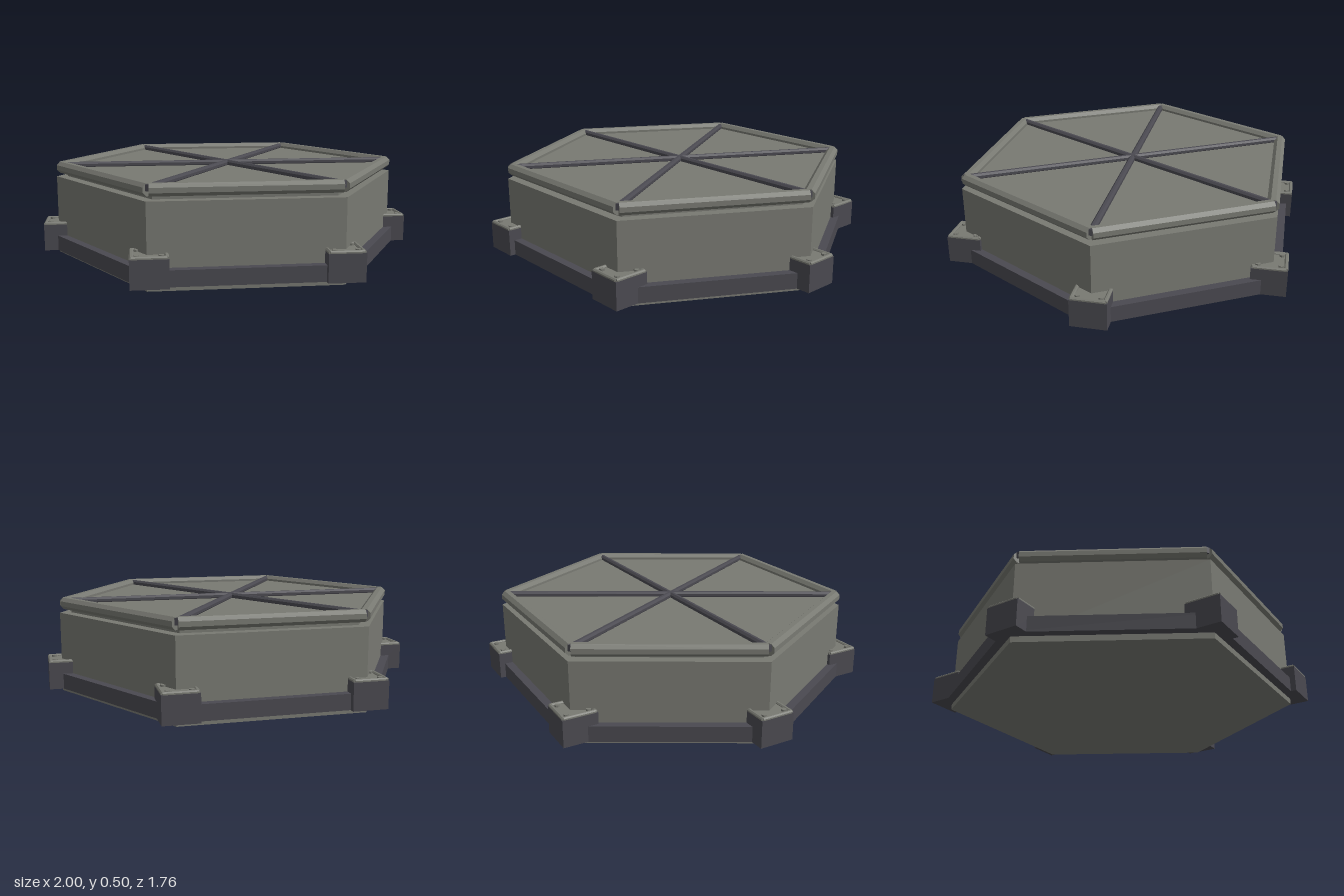
import * as THREE from 'three';

export function createModel() {
  const root = new THREE.Group();
  const stone = new THREE.MeshStandardMaterial({ color: 0x787972, flatShading: true });
  stone.name = 'warmGrey';
  const dark = new THREE.MeshStandardMaterial({ color: 0x4a4950, flatShading: true });
  dark.name = 'darkGrey';

  function add(name, geometry, material, x, y, z, parent = root) {
    const mesh = new THREE.Mesh(geometry, material);
    mesh.name = name;
    mesh.position.set(x, y, z);
    parent.add(mesh);
    return mesh;
  }

  // Hexagonal prism with corners on the x axis
  const hexPrism = (radius, y0, y1) =>
    new THREE.CylinderGeometry(radius, radius, y1 - y0, 6, 1, false, Math.PI / 2)
      .translate(0, (y0 + y1) / 2, 0);

  // Horizontal eight-sided bar lying along x, with flats on top and side
  const bar = (radius, length) =>
    new THREE.CylinderGeometry(radius, radius, length, 8, 1, false, Math.PI / 8)
      .rotateZ(Math.PI / 2);

  // Main body, top panel and lower band
  add('body', hexPrism(0.93, 0, 0.42), stone, 0, 0, 0);
  add('topPanel', hexPrism(0.87, 0.42, 0.47), stone, 0, 0, 0);
  add('baseBand', hexPrism(0.98, 0.03, 0.11), dark, 0, 0, 0);

  const rimGeo = bar(0.0325, 0.9);
  const ribGeo = bar(0.0175, 0.915).translate(0.4575, 0, 0);
  const blockGeo = new THREE.BoxGeometry(0.18, 0.14, 0.18);
  const plateGeo = new THREE.BoxGeometry(0.17, 0.008, 0.17);
  const trimGeo = bar(0.0108, 0.164);
  const boltGeo = new THREE.CylinderGeometry(0.013, 0.013, 0.014, 8);

  for (let i = 0; i < 6; i++) {
    const a = (i * Math.PI) / 3;
    const mid = a + Math.PI / 6;

    // Rounded rim bar along each side
    const rim = add('rimBar', rimGeo, stone, 0.78 * Math.cos(mid), 0.47, 0.78 * Math.sin(mid));
    rim.rotation.y = -mid + Math.PI / 2;

    // Spoke from the centre to each corner
    add('topRib', ribGeo, dark, 0, 0.48, 0).rotation.y = -a;

    // Corner block, square to the axes
    const corner = new THREE.Group();
    corner.name = 'cornerBlock';
    corner.position.set(0.91 * Math.cos(a), 0, 0.91 * Math.sin(a));
    root.add(corner);
    add('block', blockGeo, dark, 0, 0.1, 0, corner);
    add('capPlate', plateGeo, stone, 0, 0.17, 0, corner);

    // Raised trim and bolts on the cap
    for (let k = 0; k < 4; k++) {
      const t = (k * Math.PI) / 2;
      const trim = add('capTrim', trimGeo, stone, 0.08 * Math.cos(t), 0.173, 0.08 * Math.sin(t), corner);
      trim.rotation.y = Math.PI / 2 - t;
      const sx = k < 2 ? 1 : -1;
      const sz = k % 2 ? 1 : -1;
      add('bolt', boltGeo, stone, 0.056 * sx, 0.177, 0.056 * sz, corner);
    }
  }
  return root;
}
